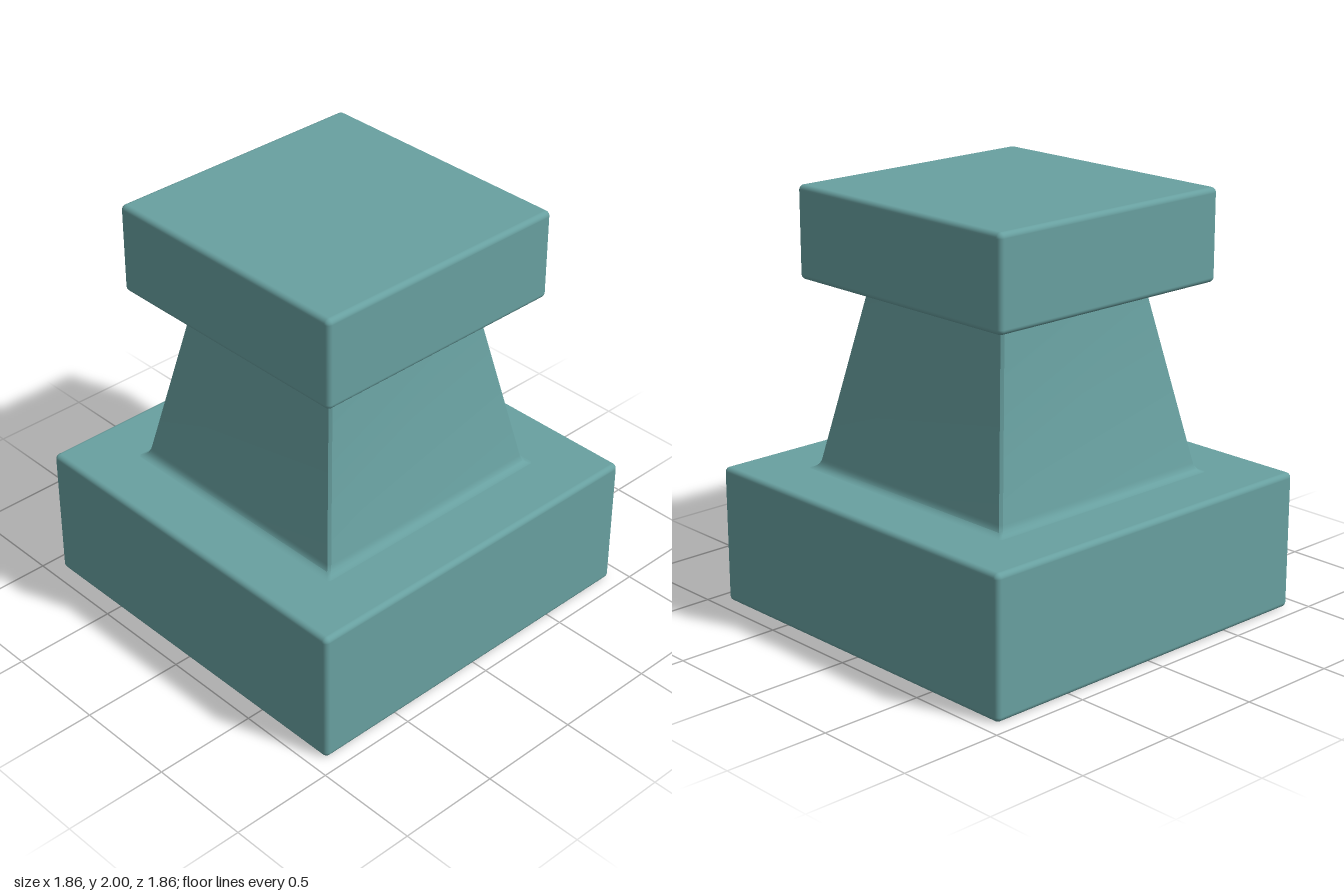
import * as THREE from 'three';
import { toCreasedNormals } from 'three/addons/utils/BufferGeometryUtils.js';
import { RoundedBoxGeometry } from 'three/addons/geometries/RoundedBoxGeometry.js';

// Square block with softened edges, standing on height y
function block(name, width, height, y, material) {
  const mesh = new THREE.Mesh(new RoundedBoxGeometry(width, height, width, 4, 0.025), material);
  mesh.position.y = y + height / 2;
  mesh.name = name;
  return mesh;
}

// Loft of square rings with bevelled corners; profile holds [half width, y]
function squareLoft(profile, bevel) {
  const positions = [];
  const index = [];
  for (const [h, y] of profile) {
    const k = h - bevel;
    const ring = [[h, -k], [h, k], [k, h], [-k, h], [-h, k], [-h, -k], [-k, -h], [k, -h]];
    for (const [x, v] of ring) positions.push(x, y, -v);
  }
  for (let r = 0; r < profile.length - 1; r++) {
    for (let i = 0; i < 8; i++) {
      const a = r * 8 + i;
      const b = r * 8 + (i + 1) % 8;
      index.push(a, b, b + 8, a, b + 8, a + 8);
    }
  }
  const geometry = new THREE.BufferGeometry();
  geometry.setAttribute('position', new THREE.Float32BufferAttribute(positions, 3));
  geometry.setIndex(index);
  return toCreasedNormals(geometry, 0.6);
}

export function createModel() {
  const group = new THREE.Group();
  group.name = 'pedestal';
  const teal = new THREE.MeshStandardMaterial({ color: 0x68a0a0 });
  teal.name = 'teal';

  // Wide foot and square cap
  group.add(block('base', 1.86, 0.665, 0, teal));
  group.add(block('cap', 1.325, 0.435, 1.565, teal));

  // Tapered column with a small cove at each end
  const path = new THREE.CurvePath();
  const p = (x, y) => new THREE.Vector2(x, y);
  path.add(new THREE.QuadraticBezierCurve(p(0.66, 0.664), p(0.62, 0.664), p(0.61, 0.71)));
  path.add(new THREE.LineCurve(p(0.61, 0.71), p(0.447, 1.535)));
  path.add(new THREE.QuadraticBezierCurve(p(0.447, 1.535), p(0.442, 1.566), p(0.485, 1.566)));
  const profile = path.curves.flatMap((curve) =>
    curve.getPoints(curve.isLineCurve ? 1 : 8).slice(0, -1).map((q) => [q.x, q.y]));
  profile.push([0.485, 1.566]);
  const column = new THREE.Mesh(squareLoft(profile, 0.012), teal);
  column.name = 'column';
  group.add(column);

  return group;
}
